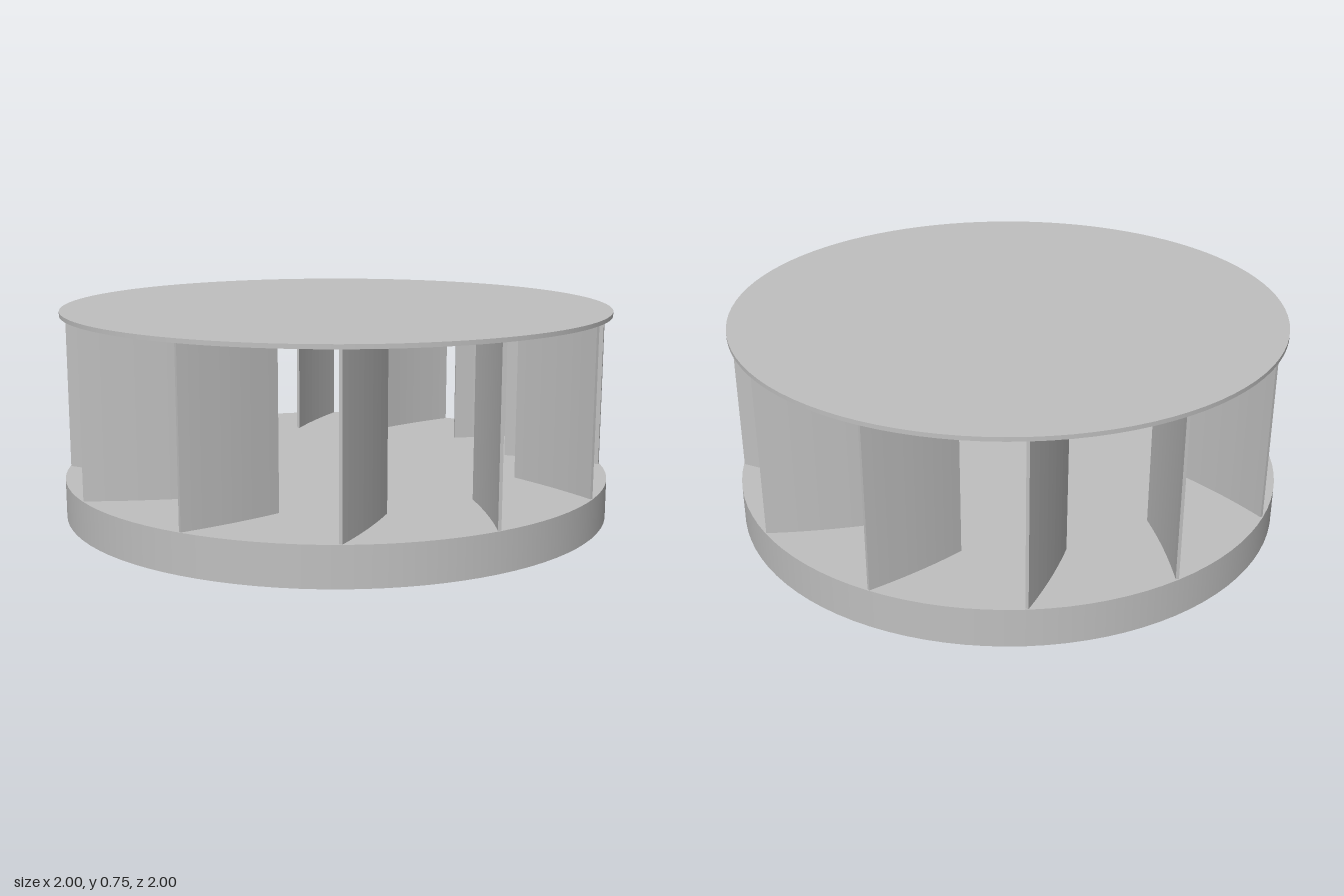
import * as THREE from 'three';

const BLADES = 12;
const BASE_TOP = 0.14, CAP_BOTTOM = 0.732, HEIGHT = 0.747;

// Blade footprint: a slightly bowed strip running inward from the rim.
// Shape coordinates are (x, -z), so the rim lies at -y.
function bladeShape() {
  const tip = new THREE.Vector2(0, -0.993);
  const root = new THREE.Vector2(0.152, -0.66);
  const along = root.clone().sub(tip).normalize();
  const side = new THREE.Vector2(along.y, -along.x);
  const half = 0.0055, bow = 0.008, steps = 10;
  const edge = (sign) => Array.from({ length: steps + 1 }, (_, i) => {
    const t = i / steps;
    return tip.clone().lerp(root, t).addScaledVector(side, 4 * bow * t * (1 - t) + sign * half);
  });
  return new THREE.Shape([...edge(1), ...edge(-1).reverse()]);
}

export function createModel() {
  const group = new THREE.Group();
  const metal = new THREE.MeshStandardMaterial({ color: 0xc0c0c0 });
  metal.name = 'grey metal';

  // Solid disc between two heights
  const disc = (name, bottom, top) => {
    const mesh = new THREE.Mesh(new THREE.CylinderGeometry(0.998, 0.998, top - bottom, 96), metal);
    mesh.position.y = (bottom + top) / 2;
    mesh.name = name;
    group.add(mesh);
  };
  disc('baseDisc', 0, BASE_TOP);
  disc('coverDisc', CAP_BOTTOM, HEIGHT);

  // Ring of swept blades joining the two discs
  const bladeGeometry = new THREE.ExtrudeGeometry(bladeShape(), {
    depth: CAP_BOTTOM - BASE_TOP, bevelEnabled: false,
  });
  bladeGeometry.rotateX(-Math.PI / 2).translate(0, BASE_TOP, 0);
  const blades = new THREE.Group();
  blades.name = 'blades';
  for (let i = 0; i < BLADES; i++) {
    const blade = new THREE.Mesh(bladeGeometry, metal);
    blade.rotation.y = (i / BLADES) * Math.PI * 2;
    blade.name = 'blade';
    blades.add(blade);
  }
  group.add(blades);
  return group;
}
